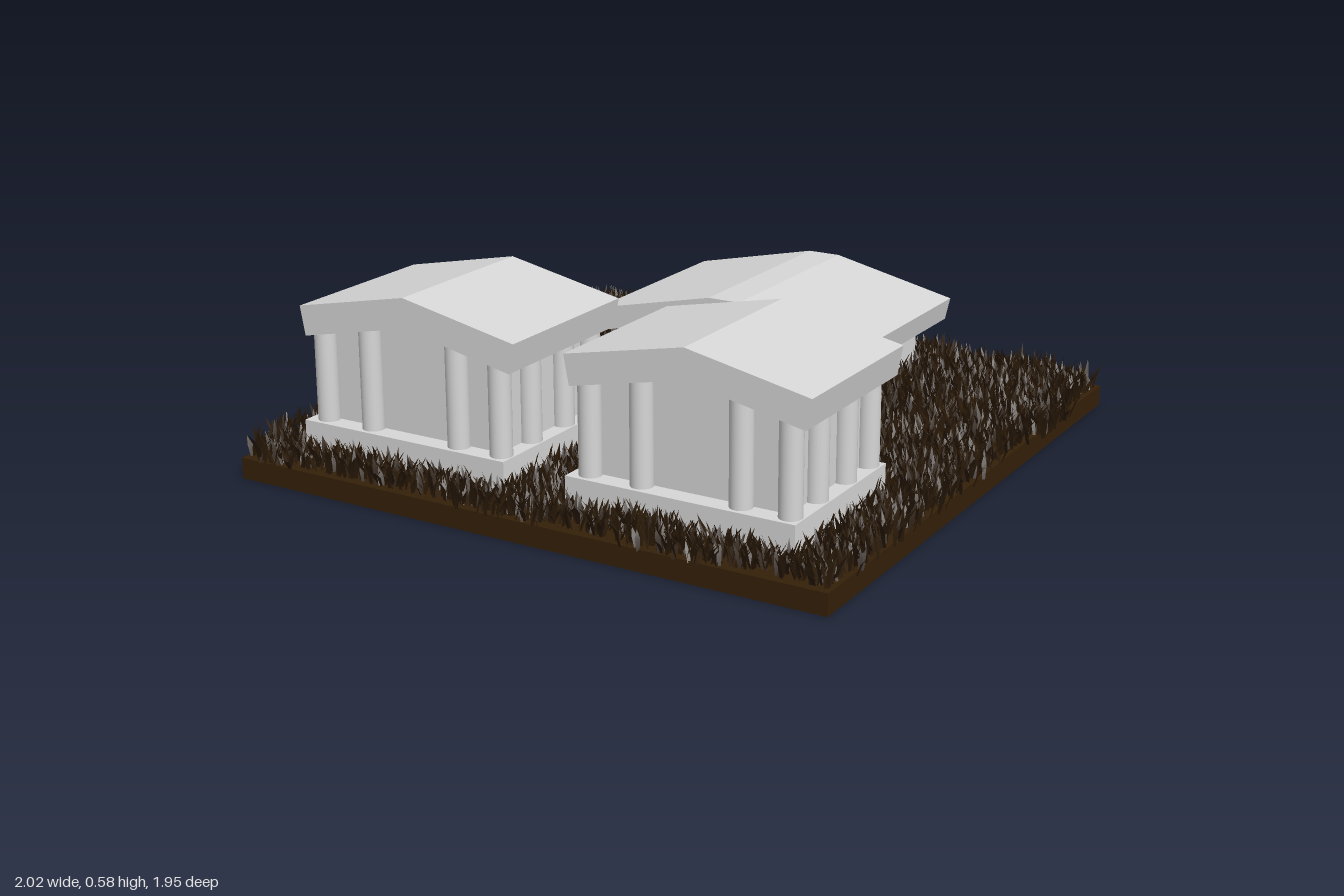
import * as THREE from 'three';

const mat = (name, color, side = THREE.FrontSide) => {
  const m = new THREE.MeshStandardMaterial({ color, side });
  m.name = name;
  return m;
};

export function createModel() {
  const marble = mat('pale marble', 0xd7d7d7);
  const soil = mat('brown soil', 0x352008);
  const grassMat = mat('dark grass', 0x2a1a08, THREE.DoubleSide);
  const root = new THREE.Group();
  root.name = 'templeGarden';

  const add = (parent, name, geo, material) => {
    const m = new THREE.Mesh(geo, material);
    m.name = name;
    parent.add(m);
    return m;
  };
  // box given by its limits on each axis
  const box = (parent, name, x0, x1, y0, y1, z0, z1, material) =>
    add(parent, name, new THREE.BoxGeometry(x1 - x0, y1 - y0, z1 - z0), material)
      .position.set((x0 + x1) / 2, (y0 + y1) / 2, (z0 + z1) / 2);
  // front outline pushed from z0 to z1
  const prism = (parent, name, pts, z0, z1) => {
    const shape = new THREE.Shape(pts.map(p => new THREE.Vector2(...p)));
    const g = new THREE.ExtrudeGeometry(shape, { depth: z1 - z0, bevelEnabled: false });
    add(parent, name, g.translate(0, 0, z0), marble);
  };

  box(root, 'groundSlab', -0.915, 0.948, 0, 0.062, -0.93, 0.937, soil);

  // small temples: x is measured from the roof ridge
  const temple = (name, ridgeX) => {
    const t = new THREE.Group();
    t.name = name;
    t.position.x = ridgeX;
    root.add(t);
    box(t, 'podium', -0.362, 0.322, 0.06, 0.17, 0.312, 0.828, marble);
    box(t, 'upperStep', -0.17, 0.133, 0.06, 0.145, 0.26, 0.312, marble);
    box(t, 'lowerStep', -0.17, 0.133, 0.06, 0.115, 0.21, 0.26, marble);
    prism(t, 'innerHall', [[-0.3, 0.17], [0.275, 0.17], [0.275, 0.45], [0, 0.5], [-0.3, 0.446]], 0.36, 0.77);
    prism(t, 'gableRoof', [
      [-0.346, 0.42], [0, 0.492], [0.346, 0.42],
      [0.362, 0.505], [0, 0.579], [-0.362, 0.505],
    ], 0.31, 0.826);

    // columns around the podium edge
    const xs = [-0.309, -0.15, 0.145, 0.286];
    const zs = [0.785, 0.645, 0.485, 0.35];
    xs.forEach((x, i) => zs.forEach((z, j) => {
      if (i % 3 && j % 3) return;
      const top = 0.51 - Math.abs(x) * 0.206;
      const geo = new THREE.CylinderGeometry(0.032, 0.032, top - 0.17, 24);
      add(t, 'column', geo, marble).position.set(x, (top + 0.17) / 2, z);
    }));
  };
  temple('rightTemple', -0.405);
  temple('leftTemple', 0.477);

  // low hall at the back
  const hall = new THREE.Group();
  hall.name = 'backHall';
  root.add(hall);
  prism(hall, 'hallWalls', [
    [-0.36, 0.06], [0.385, 0.06], [0.385, 0.245], [0.06, 0.325], [-0.035, 0.325], [-0.36, 0.245],
  ], -0.77, -0.262);
  prism(hall, 'hallRoof', [
    [-0.424, 0.226], [-0.035, 0.315], [0.012, 0.322], [0.06, 0.315], [0.449, 0.226],
    [0.465, 0.296], [0.065, 0.385], [-0.04, 0.385], [-0.44, 0.296],
  ], -0.85, -0.19);

  // grass blades
  let seed = 7;
  const rnd = () => {
    seed = (seed * 1664525 + 1013904223) % 4294967296;
    return seed / 4294967296;
  };
  const pos = [], idx = [];
  const blade = (x, z) => {
    const a = rnd() * Math.PI * 2, c = Math.cos(a), s = Math.sin(a);
    const patch = 0.008 * Math.sin(x * 17 + z * 5) * Math.cos(z * 19 - x * 3);
    const h = 0.045 + patch + 0.047 * rnd(), lean = 0.015 + 0.03 * rnd(), w = 0.005 + 0.003 * rnd();
    const n = pos.length / 3;
    const put = (out, y, side) => pos.push(x + c * out - s * side, 0.058 + y, z + s * out + c * side);
    put(0, 0, -w * 0.6); put(0, 0, w * 0.6);
    put(lean * 0.4, h * 0.6, -w); put(lean * 0.4, h * 0.6, w);
    put(lean, h, 0);
    idx.push(n, n + 1, n + 3, n, n + 3, n + 2, n + 2, n + 3, n + 4);
  };
  // footprints, steps and bare spots kept clear: x0, x1, z0, z1
  const clear = [
    [-0.76, -0.09, 0.32, 0.82], [0.12, 0.79, 0.32, 0.82],
    [-0.57, -0.28, 0.225, 0.32], [0.315, 0.605, 0.225, 0.32],
    [-0.35, 0.375, -0.76, -0.27], [-0.77, -0.71, -0.62, -0.55],
  ];
  for (let i = 0; i < 25000; i++) {
    const x = -0.9 + 1.835 * rnd(), z = -0.915 + 1.83 * rnd();
    if (!clear.some(([a, b, c, d]) => x > a && x < b && z > c && z < d)) blade(x, z);
  }
  // tufts spilling over the slab edge: x, z, half sizes, blade count
  [
    [-0.945, -0.04, 0.035, 0.16, 110], [-0.92, -0.6, 0.025, 0.13, 50], [-0.91, 0.68, 0.025, 0.1, 40],
    [0.955, -0.5, 0.02, 0.13, 50], [0.94, 0.1, 0.02, 0.7, 100], [-0.72, -0.93, 0.06, 0.015, 25],
    [-0.45, -0.93, 0.08, 0.02, 30], [-0.1, -0.93, 0.15, 0.015, 40], [0.5, -0.92, 0.25, 0.02, 50],
    [-0.8, 0.92, 0.07, 0.02, 30], [-0.03, 0.92, 0.15, 0.02, 40], [0.5, 0.92, 0.15, 0.02, 40],
  ].forEach(([x, z, rx, rz, n]) => {
    for (let i = 0; i < n; i++) blade(x + rx * (rnd() * 2 - 1), z + rz * (rnd() * 2 - 1));
  });
  const grass = new THREE.BufferGeometry();
  grass.setAttribute('position', new THREE.Float32BufferAttribute(pos, 3));
  grass.setIndex(idx);
  grass.computeVertexNormals();
  add(root, 'grass', grass, grassMat);

  return root;
}
